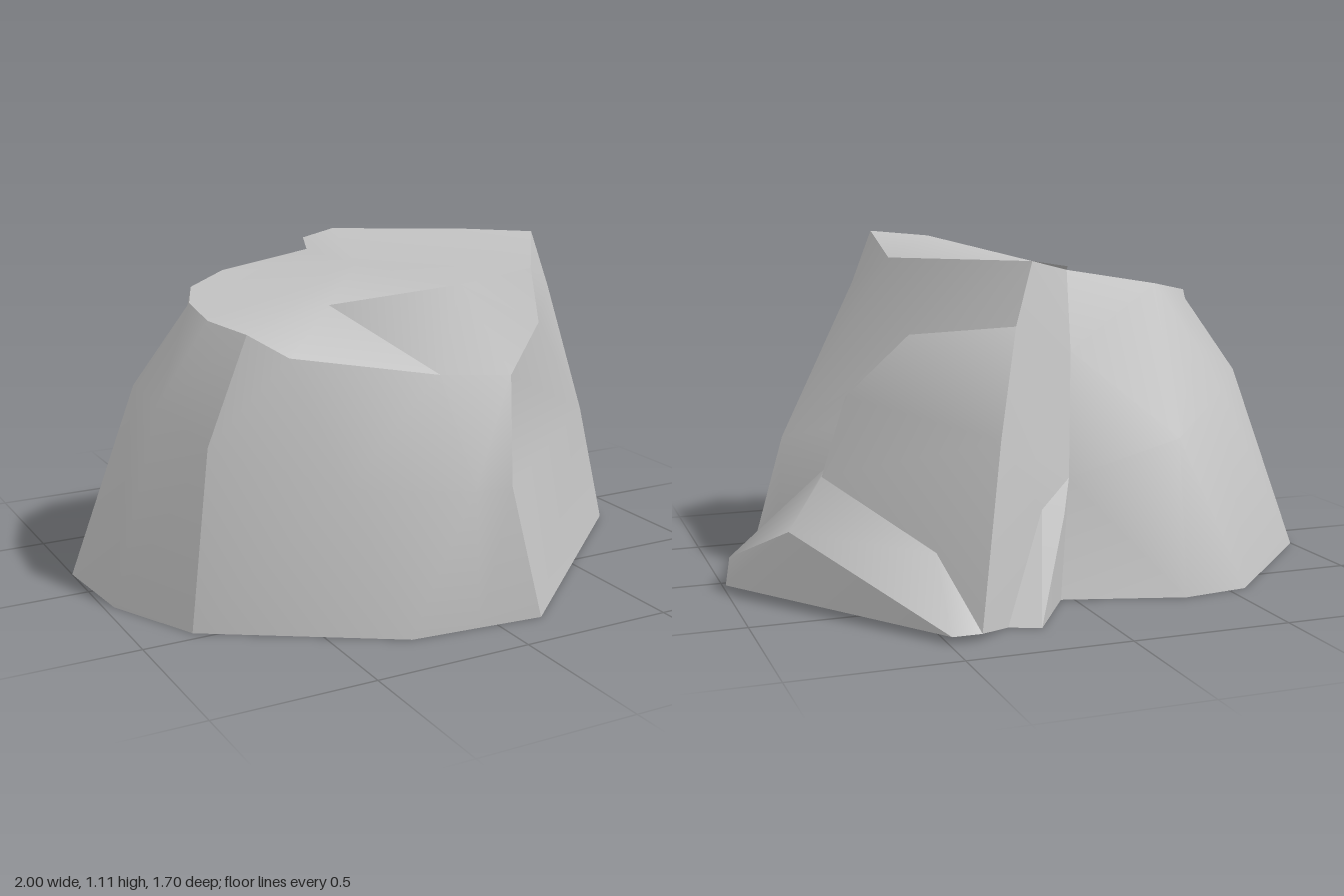
import * as THREE from 'three';
import { toCreasedNormals } from 'three/addons/utils/BufferGeometryUtils.js';

const distance = (p, q) => Math.hypot(p[0] - q[0], p[1] - q[1], p[2] - q[2]);

// Skin between two ridge lines, always taking the shorter diagonal
function skin(out, a, b) {
  const add = (...tri) => {
    if (distance(tri[0], tri[1]) && distance(tri[1], tri[2]) && distance(tri[0], tri[2])) out.push(...tri.flat());
  };
  let i = 0, j = 0;
  while (i < a.length - 1 || j < b.length - 1) {
    const stepA = i < a.length - 1 ? distance(a[i + 1], b[j]) : Infinity;
    const stepB = j < b.length - 1 ? distance(a[i], b[j + 1]) : Infinity;
    if (stepA <= stepB) { add(a[i], a[i + 1], b[j]); i++; }
    else { add(a[i], b[j + 1], b[j]); j++; }
  }
}

export function createModel() {
  const group = new THREE.Group();
  group.name = 'boulder';
  const stone = new THREE.MeshStandardMaterial({ color: 0xc4c4c4, side: THREE.DoubleSide });
  stone.name = 'grey stone';

  function part(name, panels, crease = 0.8) {
    const out = [];
    panels.forEach(([a, b]) => skin(out, a, b));
    const geometry = new THREE.BufferGeometry();
    geometry.setAttribute('position', new THREE.Float32BufferAttribute(out, 3));
    const mesh = new THREE.Mesh(toCreasedNormals(geometry, crease), stone);
    mesh.name = name;
    group.add(mesh);
  }

  // Ridge lines, each from top to base
  const front = [[0.25, 1.03, 0.6], [0.25, 0.87, 0.65], [0.12, 0.73, 0.7], [0.04, 0.43, 0.84], [0.15, 0, 0.85]];
  const frontRight = [[0.38, 1.11, 0.41], [0.45, 0.93, 0.41], [0.75, 0.43, 0.21], [0.88, 0, 0.18]];
  const groove = [[0.39, 1.03, 0.14], [0.08, 1.04, -0.4], [0.17, 0.85, -0.5], [0.27, 0.82, -0.34],
    [0.46, 0.72, -0.13], [0.61, 0.5, -0.04], [0.67, 0.37, -0.08], [0.8, 0.15, 0.08], [0.86, 0, 0.08]];
  const finLip = [groove[2], [0.46, 0.82, -0.34], [0.63, 0.62, -0.21], [0.71, 0.37, -0.21]];
  const finRidge = [groove[1], groove[2], [0.29, 0.54, -0.7], [0.4, 0.02, -0.85]];
  const finFoot = [0.47, 0.21, -0.64];
  const back = [[-0.1, 1, -0.24], [-0.07, 0.75, -0.35], [-0.03, 0.36, -0.44], [0.04, 0, -0.55]];
  const backShoulder = [-0.05, 1.02, -0.37];
  const backLeft = [
    [[-0.41, 0.95, -0.25], [-0.37, 0.48, -0.53], [-0.34, 0, -0.66]],
    [[-0.56, 0.92, -0.16], [-0.55, 0.75, -0.27], [-0.6, 0.6, -0.38], [-0.56, 0, -0.63]],
    [[-0.63, 0.9, 0], [-0.79, 0.63, -0.1], [-1, 0, -0.17]],
    [[-0.65, 0.88, 0.2], [-0.81, 0.63, 0.17], [-0.97, 0, 0.16]],
    [[-0.61, 0.87, 0.4], [-0.75, 0.55, 0.42], [-0.83, 0, 0.46]],
  ];
  const left = backLeft[4];
  const frontLeft = [[-0.52, 0.81, 0.5], [-0.42, 0.45, 0.69], [-0.28, 0, 0.81]];
  const step = [[0, 1, 0.6], [-0.11, 0.75, 0.67], [-0.06, 0.42, 0.8], [-0.06, 0, 0.83]];
  const notch = [-0.33, 0.93, 0.38];

  // Walls of the main mass
  const around = [back, ...backLeft];
  part('backAndLeftWalls', around.slice(1).map((line, i) => [around[i], line]), 1.1);
  part('frontWall', [
    [left, frontLeft],
    [frontLeft, step.slice(1)],
    [step, front],
    [[notch, step[1]], [step[0]]],
  ]);
  part('frontRightWall', [
    [front.slice(0, 2), frontRight.slice(0, 3)],
    [front.slice(1), frontRight.slice(2)],
  ]);
  part('rightWall', [[frontRight, groove]], 1.1);

  // Sloping crown with its raised corner, running down to a shelf at the front
  const peak = [0.24, 1.1, 0.18];
  const rim = [peak, groove[1], backShoulder, back[0],
    ...backLeft.map((line) => line[0]), notch, step[0], front[0], peak];
  part('crown', [
    [[front[0], frontRight[0], groove[0], groove[1]], [peak]],
    [rim, [[-0.1, 1, 0.12]]],
    [[left[0], frontLeft[0], step[1]], [notch]],
  ], 1.1);

  // Leaning fin at the back right, with the groove beside it
  const spur = [0.12, 0.3, -0.59], spurBase = [0.29, 0, -0.76];
  part('grooveLedge', [[groove.slice(2, 7), finLip]]);
  part('finFace', [[finLip, [...finRidge.slice(1), finFoot, finLip[3]]]]);
  part('finBack', [[finRidge, [backShoulder, ...back.slice(0, 3), spur, spurBase]]]);

  // Low block at the foot of the right side
  const blockEdge = [[0.98, 0.1, -0.06], [0.84, 0.23, -0.32], [0.49, 0.02, -0.85]];
  const blockCorner = [1, 0.02, -0.1];
  part('footBlockTop', [
    [groove.slice(6), [blockEdge[0], blockCorner]],
    [blockEdge, [groove[6], finLip[3], finFoot, finRidge[3]]],
  ], 1.1);
  part('footBlockSide', [[[blockCorner], blockEdge]]);

  // Small spur at the back: narrow roof and steep side
  const spurEdge = [0.03, 0.27, -0.55], spurTip = [0.2, 0, -0.8];
  part('backSpurRoof', [[[spur, spurBase], [back[2], spurEdge, spurTip]]]);
  part('backSpurSide', [[[spurEdge, spurTip], [back[2], back[3]]]]);

  return group;
}
